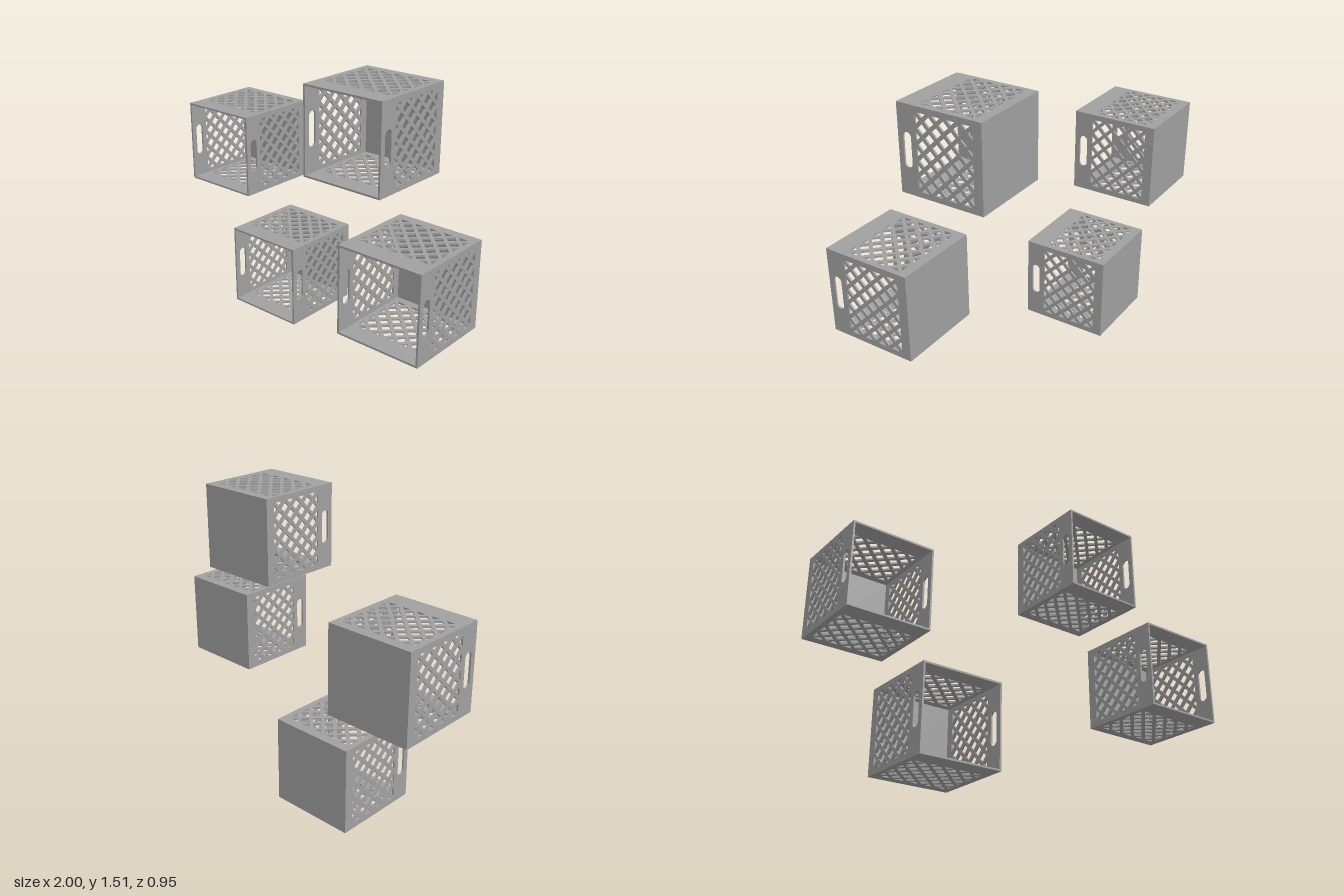
import * as THREE from 'three';

const W = 0.467, D = 0.482, T = 0.01;       // crate width/height, depth, wall thickness
const PITCH = 0.083, R = 0.028;             // lattice spacing and diamond half-diagonal
const HALF_U = 0.2035, HALF_V = 0.1625;     // half size of the lattice window
const WINDOW_V = -0.0275;                   // lattice window centre along the depth

function polygon(points) {
  return new THREE.Path(points.map(([u, v]) => new THREE.Vector2(u, v + WINDOW_V)));
}

// One diamond hole, cut to a triangle where it meets the window edge
function diamond(u, v) {
  if (Math.abs(u) + R > HALF_U) {
    const s = Math.sign(u), k = R - (Math.abs(u) - HALF_U);
    return polygon([[u - s * R, v], [s * HALF_U, v + k], [s * HALF_U, v - k]]);
  }
  if (Math.abs(v) + R > HALF_V) {
    const s = Math.sign(v), k = R - (Math.abs(v) - HALF_V);
    return polygon([[u, v - s * R], [u + k, s * HALF_V], [u - k, s * HALF_V]]);
  }
  return polygon([[u + R, v], [u, v + R], [u - R, v], [u, v - R]]);
}

// Rounded hand slot near the open end
function handSlot() {
  const r = 0.024, half = 0.0915 - r, v = 0.188;
  const path = new THREE.Path();
  path.absarc(half, v, r, -Math.PI / 2, Math.PI / 2, false);
  path.absarc(-half, v, r, Math.PI / 2, Math.PI * 1.5, false);
  path.closePath();
  return path;
}

// Lattice wall: u runs across the crate, v towards its open front
function latticeWall(width, withSlot) {
  const w = width / 2, d = D / 2;
  const shape = new THREE.Shape([
    new THREE.Vector2(-w, -d), new THREE.Vector2(w, -d),
    new THREE.Vector2(w, d), new THREE.Vector2(-w, d),
  ]);
  for (let a = -5; a <= 5; a++) {
    for (let b = -4; b <= 4; b++) {
      if ((a + b) % 2 === 0) shape.holes.push(diamond(a * PITCH / 2, b * PITCH / 2));
    }
  }
  if (withSlot) shape.holes.push(handSlot());
  return new THREE.ExtrudeGeometry(shape, { depth: T, bevelEnabled: false, curveSegments: 10 });
}

export function createModel() {
  const model = new THREE.Group();
  model.name = 'crates';
  const grey = new THREE.MeshStandardMaterial({ color: 0xa0a0a0 });
  grey.name = 'grey plastic';

  const flat = latticeWall(W, false).rotateX(Math.PI / 2);
  const side = latticeWall(W - 2 * T, true).applyMatrix4(new THREE.Matrix4().makeBasis(
    new THREE.Vector3(0, 1, 0), new THREE.Vector3(0, 0, 1), new THREE.Vector3(1, 0, 0)));
  const back = new THREE.BoxGeometry(W - 2 * T, W - 2 * T, T);

  const parts = [
    ['topWall', flat, 0, W / 2, 0],
    ['bottomWall', flat, 0, -W / 2 + T, 0],
    ['leftWall', side, W / 2 - T, 0, 0],
    ['rightWall', side, -W / 2, 0, 0],
    ['backWall', back, 0, 0, -D / 2 + T / 2],
  ];

  // Four crates in staggered positions
  const centres = [
    [-0.366, 0.2335, -0.175],
    [-0.7665, 0.899, -0.235],
    [0.398, 1.275, 0.06],
    [0.7665, 0.616, 0.236],
  ];
  centres.forEach((c, i) => {
    const crate = new THREE.Group();
    crate.name = `crate${i + 1}`;
    for (const [name, geometry, x, y, z] of parts) {
      const mesh = new THREE.Mesh(geometry, grey);
      mesh.name = name;
      mesh.position.set(x, y, z);
      crate.add(mesh);
    }
    crate.position.set(...c);
    model.add(crate);
  });
  return model;
}
